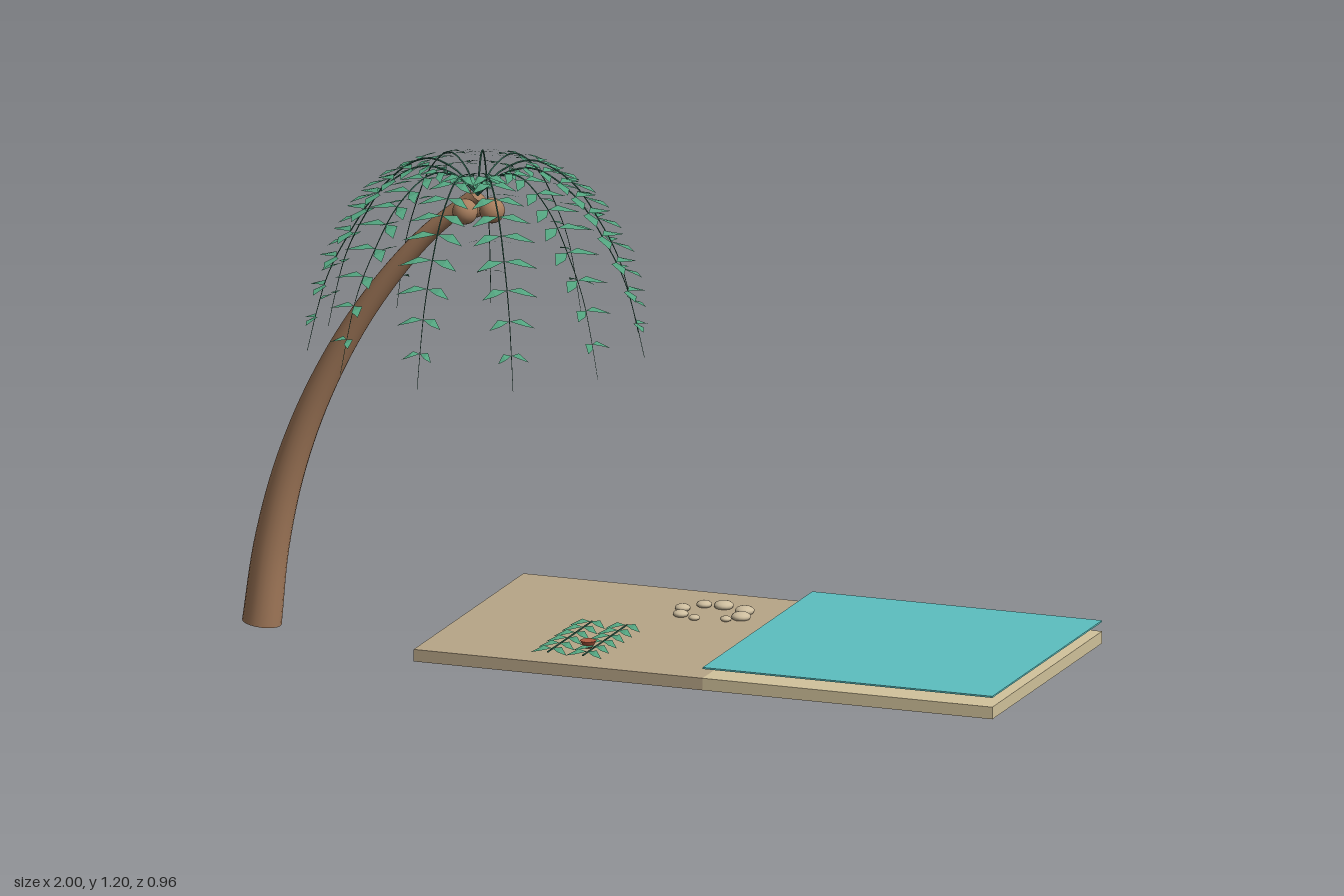
import * as THREE from 'three';
import { mergeGeometries } from 'three/addons/utils/BufferGeometryUtils.js';

const mat = (name, color, side = THREE.FrontSide) => {
  const m = new THREE.MeshStandardMaterial({ color, side });
  m.name = name;
  return m;
};
const M = {
  sand: mat('sand', 0xb8a688),
  seabed: mat('pale sand', 0xd3c49c),
  water: mat('water', 0x5cbfc0),
  bark: mat('bark', 0xa67c5c),
  nut: mat('coconut', 0xa87e5e),
  leaf: mat('leaf', 0x53a580, THREE.DoubleSide),
  stem: mat('stem', 0x35705a, THREE.DoubleSide),
  stone: mat('stone', 0xcdbd9e),
  flower: mat('flower', 0xb05a40),
};

function add(parent, name, geo, material, x = 0, y = 0, z = 0) {
  const m = new THREE.Mesh(geo, material);
  m.name = name;
  m.position.set(x, y, z);
  parent.add(m);
  return m;
}

// tube whose radius follows r(t)
function taperedTube(curve, segs, sides, r) {
  const g = new THREE.TubeGeometry(curve, segs, 1, sides);
  const p = g.attributes.position, v = new THREE.Vector3();
  for (let i = 0; i <= segs; i++) {
    const c = curve.getPointAt(i / segs);
    for (let j = 0; j <= sides; j++) {
      const k = i * (sides + 1) + j;
      v.fromBufferAttribute(p, k).sub(c).multiplyScalar(r(i / segs)).add(c);
      p.setXYZ(k, v.x, v.y, v.z);
    }
  }
  return g;
}

// folded kite leaflet from a point on a stem running along +z
function leaflet(c, side, w, sweep, droop) {
  const a = [c.x, c.y, c.z];
  const b = [c.x + side * w * 0.5, c.y + 0.004, c.z - 0.004];
  const t = [c.x + side * w, c.y - droop, c.z + sweep];
  const d = [c.x + side * w * 0.5, c.y - droop * 0.4, c.z + sweep * 0.9];
  const tris = side > 0 ? [a, d, b, b, d, t] : [a, b, d, b, t, d];
  const g = new THREE.BufferGeometry();
  g.setAttribute('position', new THREE.Float32BufferAttribute(tris.flat(), 3));
  g.computeVertexNormals();
  return g;
}

function buildPalm() {
  const palm = new THREE.Group();
  palm.name = 'palmTree';

  // leaning trunk
  const path = new THREE.CatmullRomCurve3([
    [-0.95, 0.004], [-0.925, 0.2], [-0.877, 0.4], [-0.8, 0.6], [-0.69, 0.8], [-0.535, 1.0], [-0.4, 1.12],
  ].map(([x, y]) => new THREE.Vector3(x, y, 0.06)));
  add(palm, 'trunk', taperedTube(path, 40, 20, t => 0.048 - 0.03 * t), M.bark);
  const base = add(palm, 'trunkBase', new THREE.CircleGeometry(0.048, 20), M.bark, -0.95, 0.004, 0.06);
  base.rotation.x = Math.PI / 2;

  // coconuts
  for (let i = 0; i < 3; i++) {
    const a = i * Math.PI * 2 / 3;
    add(palm, 'coconut', new THREE.SphereGeometry(0.031, 18, 12), M.nut,
      -0.395 + Math.cos(a) * 0.038, 1.086, 0.065 + Math.sin(a) * 0.038);
  }

  // one frond, repeated around the crown
  const rib = new THREE.CatmullRomCurve3([
    [0, 1.12], [0.06, 1.175], [0.14, 1.194], [0.24, 1.13], [0.315, 1.02], [0.36, 0.93], [0.388, 0.835], [0.41, 0.74],
  ].map(([z, y]) => new THREE.Vector3(0, y, z)));
  const ribGeo = taperedTube(rib, 28, 4, t => 0.0026 - 0.002 * t);
  const rows = [
    [0.08, 0.022], [0.14, 0.035], [0.2, 0.045], [0.26, 0.055], [0.33, 0.065], [0.4, 0.072],
    [0.47, 0.077], [0.56, 0.075], [0.66, 0.068], [0.765, 0.056], [0.88, 0.038],
  ];
  const leaves = mergeGeometries(rows.flatMap(([t, w]) =>
    [1, -1].map(s => leaflet(rib.getPointAt(t), s, w, 0.014 + w * 0.3, 0.012))));
  for (let i = 0; i < 11; i++) {
    const frond = new THREE.Group();
    frond.name = 'frond';
    frond.position.set(-0.395, 0, 0.062);
    frond.rotation.y = i * Math.PI * 2 / 11;
    add(frond, 'frondRib', ribGeo, M.stem);
    add(frond, 'frondLeaflets', leaves, M.leaf);
    palm.add(frond);
  }
  return palm;
}

function buildBeach() {
  const beach = new THREE.Group();
  beach.name = 'beach';
  add(beach, 'sandSlab', new THREE.BoxGeometry(0.742, 0.03, 0.742), M.sand, -0.115, 0.015, -0.115);
  add(beach, 'seabedSlab', new THREE.BoxGeometry(0.744, 0.03, 0.742), M.seabed, 0.628, 0.015, -0.115);
  add(beach, 'waterSheet', new THREE.BoxGeometry(0.744, 0.004, 0.742), M.water, 0.628, 0.055, -0.115);
  const mound = add(beach, 'seabedMound', new THREE.SphereGeometry(1, 24, 12), M.seabed, 0.61, 0.03, -0.44);
  mound.scale.set(0.29, 0.009, 0.042);

  // ring of flattened stones: x, z, radius
  const stones = [
    [-0.01, -0.31, 0.019], [0.027, -0.358, 0.019], [0.075, -0.364, 0.024], [0.139, -0.337, 0.024],
    [0.15, -0.283, 0.024], [0.123, -0.251, 0.014], [0.048, -0.235, 0.014], [0.005, -0.257, 0.019],
  ];
  const stoneGeo = new THREE.SphereGeometry(1, 14, 10);
  for (const [x, z, r] of stones) {
    add(beach, 'stone', stoneGeo, M.stone, x, 0.036, z).scale.set(r, r * 0.5, r);
  }

  // low plant with rows of leaflets lying on the sand
  const plant = new THREE.Group();
  plant.name = 'groundPlant';
  plant.position.set(-0.12, 0.034, 0.045);
  const parts = [];
  for (let i = 0; i < 6; i++) {
    for (const x of [-0.045, 0.045]) {
      const c = new THREE.Vector3(x, 0.007, -0.14 + i * 0.052);
      parts.push(leaflet(c, 1, 0.046, 0.024, 0.008), leaflet(c, -1, 0.046, 0.024, 0.008));
    }
  }
  add(plant, 'groundLeaflets', mergeGeometries(parts), M.leaf);
  for (const x of [-0.045, 0.045]) {
    add(plant, 'groundRib', new THREE.BoxGeometry(0.003, 0.003, 0.3), M.stem, x, 0.005, 0);
  }
  add(plant, 'flower', new THREE.CylinderGeometry(0.02, 0.01, 0.018, 10), M.flower, 0.025, 0.009, 0.06);
  beach.add(plant);
  return beach;
}

export function createModel() {
  const model = new THREE.Group();
  model.name = 'beachIsland';
  model.add(buildPalm(), buildBeach());
  return model;
}
